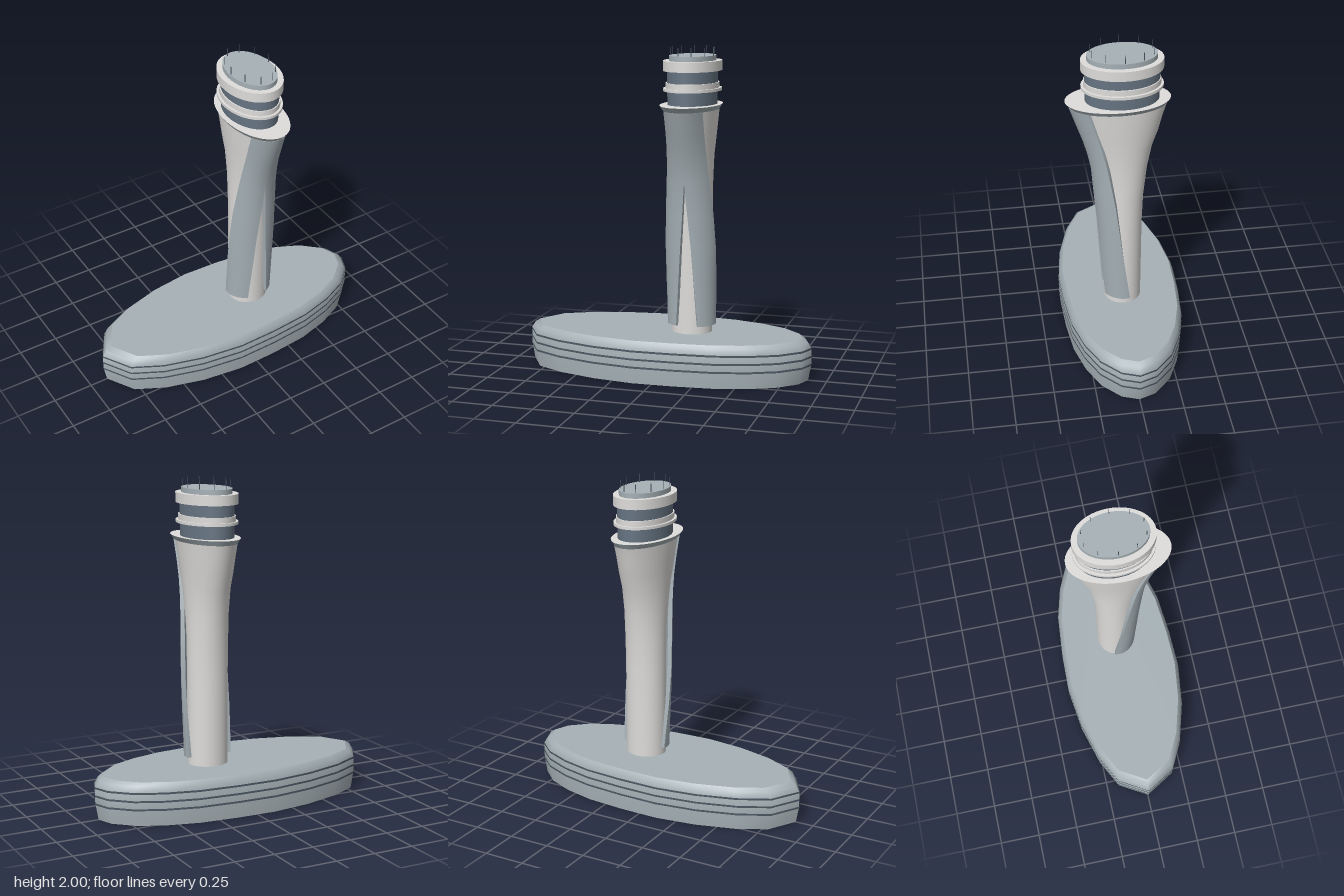
import * as THREE from 'three';
import { mergeVertices, toCreasedNormals } from 'three/addons/utils/BufferGeometryUtils.js';

const mat = (name, color) => new THREE.MeshStandardMaterial({ name, color, side: THREE.DoubleSide });

// Skin a list of closed rings (each ring is a list of [x, y, z])
function loft(rings, crease = 0.9) {
  const n = rings[0].length, index = [];
  for (let j = 0; j < rings.length - 1; j++) {
    for (let i = 0; i < n; i++) {
      const a = j * n + i, b = j * n + (i + 1) % n;
      index.push(a, b, b + n, a, b + n, a + n);
    }
  }
  const g = new THREE.BufferGeometry();
  g.setAttribute('position', new THREE.Float32BufferAttribute(rings.flat(2), 3));
  g.setIndex(index);
  return toCreasedNormals(g, crease);
}

// Flat upward face filling a convex ring
function cap(ring) {
  const g = new THREE.BufferGeometry(), index = [];
  for (let i = 1; i < ring.length - 1; i++) index.push(0, i, i + 1);
  g.setAttribute('position', new THREE.Float32BufferAttribute(ring.flat(), 3));
  g.setIndex(index);
  g.computeVertexNormals();
  return g;
}

const CX = 0.155; // tower axis
function ellipse(y, rx, rz, cz = 0, n = 48) {
  return Array.from({ length: n }, (_, i) => {
    const t = i / n * Math.PI * 2;
    return [CX + rx * Math.cos(t), y, cz - rz * Math.sin(t)];
  });
}

export function createModel() {
  const model = new THREE.Group();
  const white = mat('offWhite', 0xdedddb);
  const grey = mat('blueGrey', 0xa6b1b6);
  const slate = mat('slate', 0x667482);
  const dark = mat('darkSlate', 0x4c5964);
  const add = (name, geometry, material, parent = model) => {
    const m = new THREE.Mesh(geometry, material);
    m.name = name;
    parent.add(m);
    return m;
  };

  // Oval base, open underneath
  const half = [[0.905, 0], [0.865, 0.105], [0.745, 0.215], [0.58, 0.29], [0.38, 0.342], [0.13, 0.365],
    [-0.12, 0.372], [-0.38, 0.338], [-0.62, 0.27], [-0.8, 0.178], [-0.905, 0]];
  const outline = [...half.map(([x, z]) => [x, -z]), ...half.slice(1, -1).reverse()];
  const baseRing = (y, s) => outline.map(([x, z]) => [x * s, y, z * s]);
  const base = new THREE.Group();
  base.name = 'base';
  model.add(base);
  add('baseWall', loft([[0, 0.98], [0.1, 1], [0.2, 1], [0.24, 0.972], [0.26, 0.935]].map(r => baseRing(...r))), grey, base);
  add('baseTop', cap(baseRing(0.26, 0.935)), grey, base);
  for (const y of [0.1, 0.15, 0.2]) {
    add('baseStripe', loft([baseRing(y - 0.006, 1.003), baseRing(y + 0.006, 1.003)]), dark, base);
  }

  // Flaring column: y, x radius, z radius, z centre
  const column = [[0.25, 0.125, 0.115, 0], [0.8, 0.125, 0.12, 0], [1, 0.125, 0.128, 0], [1.1, 0.125, 0.139, 0],
    [1.2, 0.126, 0.155, 0.005], [1.35, 0.131, 0.19, 0.01], [1.45, 0.14, 0.225, 0.01],
    [1.55, 0.149, 0.25, 0.01], [1.64, 0.156, 0.278, 0.01]];
  add('column', loft(column.map(r => ellipse(...r))), white);

  // Front cladding, split into two legs: y, x radius, z radius, z centre, outer edge z, half gap
  const cladding = [[0.31, 0.15, 0.13, 0, -0.03, 0.068], [0.6, 0.158, 0.145, 0, 0.01, 0.047],
    [0.8, 0.163, 0.155, 0, 0.035, 0.033], [1, 0.16, 0.17, 0, 0.06, 0.016],
    [1.2, 0.154, 0.182, 0.005, 0.095, 0], [1.3, 0.15, 0.2, 0.008, 0.115, 0], [1.4, 0.148, 0.226, 0.01, 0.14, 0],
    [1.5, 0.15, 0.258, 0.013, 0.17, 0], [1.63, 0.158, 0.295, 0.02, 0.212, 0]];
  const N = 12;
  for (const side of [1, -1]) {
    const rings = cladding.map(([y, rx, rz, cz, edge, gap]) => {
      const t0 = Math.asin(gap / rx), t1 = Math.acos((edge - cz) / rz);
      const arc = s => Array.from({ length: N }, (_, i) => {
        const t = t0 + (t1 - t0) * i / (N - 1);
        return [CX + side * s * rx * Math.sin(t), y, cz + s * rz * Math.cos(t)];
      });
      const ring = [...arc(1), ...arc(0.84).reverse()];
      return side > 0 ? ring : ring.reverse();
    });
    add(side > 0 ? 'leftCladding' : 'rightCladding', loft(rings), grey);
    // Closed foot of the leg
    const foot = rings[0], index = [];
    for (let i = 0; i < N - 1; i++) {
      const a = i, b = i + 1, c = 2 * N - 2 - i, d = 2 * N - 1 - i;
      index.push(a, c, b, a, d, c);
    }
    const g = new THREE.BufferGeometry();
    g.setAttribute('position', new THREE.Float32BufferAttribute(foot.flat(), 3));
    g.setIndex(index);
    g.computeVertexNormals();
    add('claddingFoot', g, grey);
  }

  // Spreading oval deck over the column
  const deckTop = ellipse(1.66, 0.178, 0.31, 0.025);
  add('deckRim', loft([ellipse(1.63, 0.158, 0.288, 0.022), deckTop]), grey);
  add('deckTop', cap(deckTop), white);

  // Stacked oval drums: name, bottom, top, x radius, z radius, material
  const drums = [['lowerDrum', 1.66, 1.74, 0.145, 0.217, slate], ['thinLedge', 1.74, 1.757, 0.17, 0.241, white],
    ['middleBand', 1.757, 1.79, 0.155, 0.226, white], ['upperDrum', 1.79, 1.86, 0.147, 0.22, slate],
    ['upperRing', 1.86, 1.92, 0.172, 0.241, white], ['roof', 1.92, 1.95, 0.136, 0.205, grey]];
  for (const [name, y0, y1, rx, rz, material] of drums) {
    const g = new THREE.CylinderGeometry(1, 1, y1 - y0, 48);
    g.scale(rx, 1, rz);
    g.translate(CX, (y0 + y1) / 2, 0);
    add(name, g, material);
  }

  // Ring of thin roof masts
  for (let i = 0; i < 10; i++) {
    const t = i / 10 * Math.PI * 2;
    add('mast', new THREE.CylinderGeometry(0.002, 0.002, 0.05, 6), dark)
      .position.set(CX + 0.128 * Math.cos(t), 1.975, 0.188 * Math.sin(t));
  }
  return model;
}
